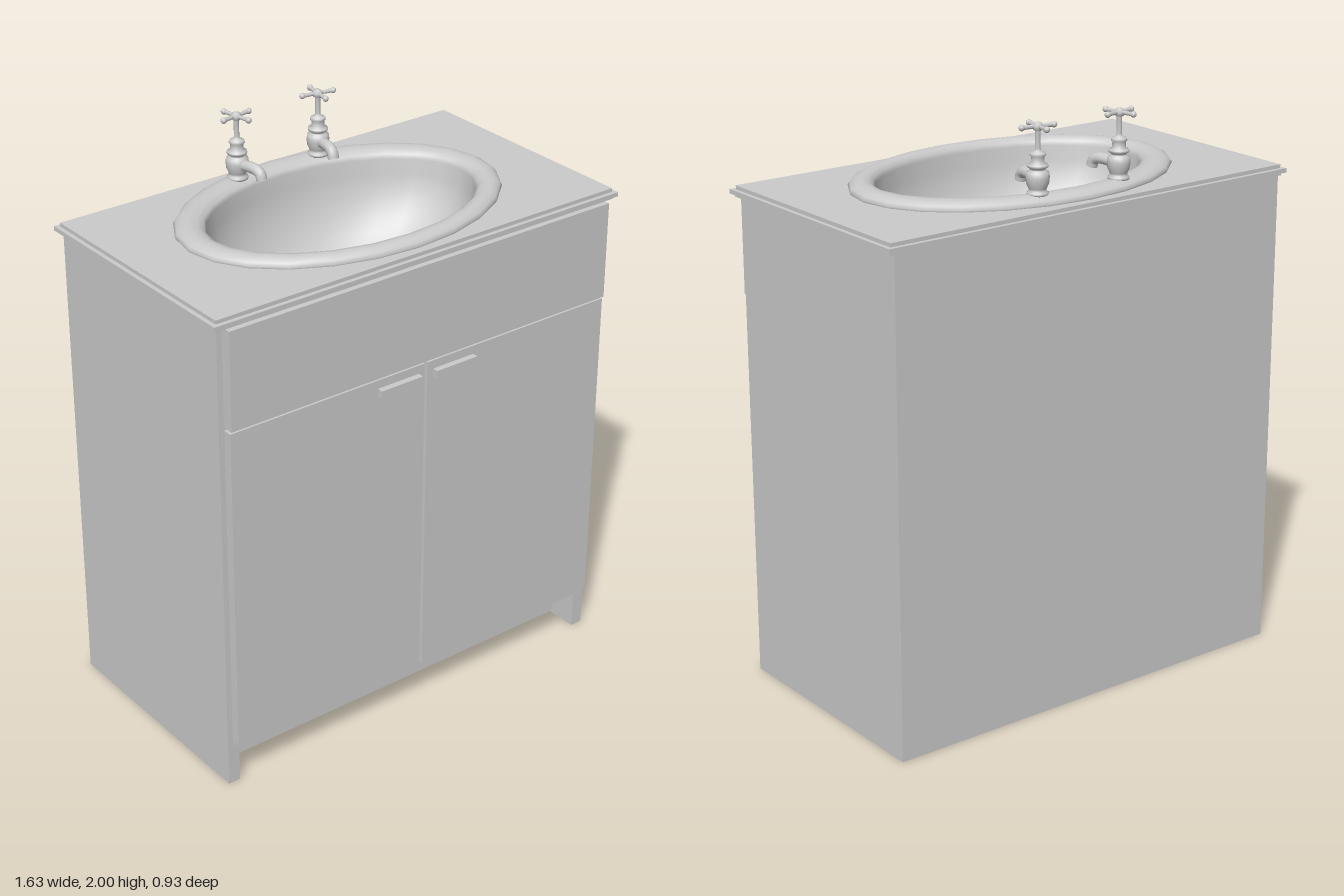
import * as THREE from 'three';

const material = new THREE.MeshStandardMaterial({ color: 0xcccccc });
const openMaterial = new THREE.MeshStandardMaterial({ color: 0xcccccc, side: THREE.DoubleSide });

function add(parent, name, geometry, mat = material) {
  const mesh = new THREE.Mesh(geometry, mat);
  mesh.name = name;
  parent.add(mesh);
  return mesh;
}

// Box given by its extents on each axis
function box(parent, name, [x0, x1], [y0, y1], [z0, z1]) {
  const mesh = add(parent, name, new THREE.BoxGeometry(x1 - x0, y1 - y0, z1 - z0));
  mesh.position.set((x0 + x1) / 2, (y0 + y1) / 2, (z0 + z1) / 2);
  return mesh;
}

// Smooth surface through elliptical rings [radiusX, radiusZ, centreZ, y]
function ellipseLoft(rings, sides) {
  const positions = [], indices = [];
  for (const [rx, rz, cz, y] of rings) {
    for (let i = 0; i < sides; i++) {
      const a = (i / sides) * Math.PI * 2;
      positions.push(rx * Math.cos(a), y, cz + rz * Math.sin(a));
    }
  }
  for (let r = 0; r < rings.length - 1; r++) {
    for (let i = 0; i < sides; i++) {
      const j = (i + 1) % sides;
      const a = r * sides + i, b = r * sides + j, c = a + sides, d = b + sides;
      indices.push(a, c, b, b, c, d);
    }
  }
  const geometry = new THREE.BufferGeometry();
  geometry.setAttribute('position', new THREE.Float32BufferAttribute(positions, 3));
  geometry.setIndex(indices);
  geometry.computeVertexNormals();
  return geometry;
}

// Worktop layer with an oval cut-out for the basin
function worktopLayer(parent, halfX, halfZ, y0, y1) {
  const cz = -0.0125;
  const shape = new THREE.Shape([
    new THREE.Vector2(-halfX, -halfZ), new THREE.Vector2(halfX, -halfZ),
    new THREE.Vector2(halfX, halfZ), new THREE.Vector2(-halfX, halfZ),
  ]);
  const hole = new THREE.Path();
  hole.absellipse(0, 0, 0.555, 0.375, 0, Math.PI * 2, true);
  shape.holes.push(hole);
  const geometry = new THREE.ExtrudeGeometry(shape, { depth: y1 - y0, bevelEnabled: false, curveSegments: 24 });
  geometry.rotateX(-Math.PI / 2).translate(0, y0, cz);
  add(parent, 'worktopLayer', geometry);
}

function createCabinet() {
  const cabinet = new THREE.Group();
  cabinet.name = 'cabinet';
  for (const s of [-1, 1]) {
    const span = (a, b) => (s > 0 ? [a, b] : [-b, -a]);
    box(cabinet, 'sidePanel', span(0.745, 0.79), [0, 1.70], [-0.455, 0.41]);
    box(cabinet, 'door', span(0.006, 0.77), [0.165, 1.345], [0.41, 0.443]);
    box(cabinet, 'doorHandle', span(0.03, 0.198), [1.287, 1.315], [0.443, 0.465]);
  }
  box(cabinet, 'backPanel', [-0.745, 0.745], [0, 1.70], [-0.455, -0.43]);
  box(cabinet, 'plinth', [-0.745, 0.745], [0.006, 0.16], [0.28, 0.30]);
  box(cabinet, 'upperFrontPanel', [-0.77, 0.77], [1.355, 1.70], [0.41, 0.45]);
  return cabinet;
}

function createBasin() {
  const rings = [
    // rolled rim, outside to inside
    [0.595, 0.41, -0.0125, 1.735], [0.6, 0.414, -0.0125, 1.744],
    [0.593, 0.407, -0.0125, 1.756], [0.575, 0.39, -0.011, 1.766],
    [0.55, 0.37, -0.008, 1.77], [0.525, 0.345, -0.002, 1.766],
    [0.507, 0.329, 0.002, 1.755], [0.5, 0.3225, 0.0025, 1.74],
  ];
  // bowl curving down to the open drain
  const steps = 10;
  for (let i = 1; i <= steps; i++) {
    const a = (i / steps) * 1.42;
    const t = (Math.cos(a) - Math.cos(1.42)) / (1 - Math.cos(1.42));
    rings.push([
      0.075 + 0.425 * t, 0.072 + 0.2505 * t,
      -0.02 + 0.0225 * t, 1.74 - 0.36 * Math.sin(a),
    ]);
  }
  const basin = new THREE.Group();
  basin.name = 'basin';
  const geometry = ellipseLoft(rings, 24);
  // rings run from the outside in, so the top faces need the opposite winding
  const index = geometry.index.array;
  for (let i = 0; i < index.length; i += 3) [index[i + 1], index[i + 2]] = [index[i + 2], index[i + 1]];
  geometry.computeVertexNormals();
  const normals = geometry.attributes.normal;
  // check on the rim top that the surface faces upward
  if (normals.getY(4 * 24) < 0) {
    for (let i = 0; i < index.length; i += 3) [index[i + 1], index[i + 2]] = [index[i + 2], index[i + 1]];
    geometry.computeVertexNormals();
  }
  add(basin, 'basinBowl', geometry, openMaterial);
  return basin;
}

function createTap() {
  const tap = new THREE.Group();
  tap.name = 'tap';

  // turned body: foot, bulb, collar, neck and spindle
  const profile = [
    [0, 0], [0.036, 0], [0.036, 0.008], [0.028, 0.014], [0.03, 0.022], [0.037, 0.038],
    [0.039, 0.058], [0.037, 0.074], [0.026, 0.08], [0.026, 0.086], [0.034, 0.09],
    [0.034, 0.098], [0.022, 0.104], [0.022, 0.125], [0.027, 0.128], [0.025, 0.136],
    [0.011, 0.142], [0.009, 0.15], [0.009, 0.205], [0.016, 0.211], [0.018, 0.222],
    [0.012, 0.232], [0, 0.235],
  ].map(([r, y]) => new THREE.Vector2(r, y));
  add(tap, 'tapBody', new THREE.LatheGeometry(profile, 16));

  // spout bending down at its end
  const path = new THREE.CatmullRomCurve3([
    new THREE.Vector3(0, 0.052, 0.02), new THREE.Vector3(0, 0.056, 0.06),
    new THREE.Vector3(0, 0.054, 0.09), new THREE.Vector3(0, 0.044, 0.108),
    new THREE.Vector3(0, 0.025, 0.114),
  ]);
  add(tap, 'spout', new THREE.TubeGeometry(path, 14, 0.019, 12), openMaterial);

  // cross handle with rounded tips
  for (let i = 0; i < 4; i++) {
    const arm = new THREE.Group();
    arm.name = 'handleArm';
    const rod = add(arm, 'handleRod', new THREE.CylinderGeometry(0.008, 0.006, 0.055, 8));
    rod.rotation.x = Math.PI / 2;
    rod.position.z = 0.03;
    add(arm, 'handleTip', new THREE.SphereGeometry(0.0105, 10, 8)).position.z = 0.058;
    arm.position.y = 0.221;
    arm.rotation.y = (i * Math.PI) / 2;
    tap.add(arm);
  }
  return tap;
}

export function createModel() {
  const model = new THREE.Group();
  model.name = 'washbasinCabinet';
  model.add(createCabinet());

  // stepped worktop edge
  const worktop = new THREE.Group();
  worktop.name = 'worktop';
  worktopLayer(worktop, 0.805, 0.4425, 1.70, 1.71);
  worktopLayer(worktop, 0.817, 0.4545, 1.71, 1.725);
  worktopLayer(worktop, 0.802, 0.4395, 1.725, 1.738);
  model.add(worktop);

  model.add(createBasin());

  // pair of taps turned slightly towards the middle
  for (const [x, turn] of [[-0.173, 0.17], [0.162, -0.17]]) {
    const tap = createTap();
    tap.position.set(x, 1.765, -0.35);
    tap.rotation.y = turn;
    model.add(tap);
  }
  return model;
}
